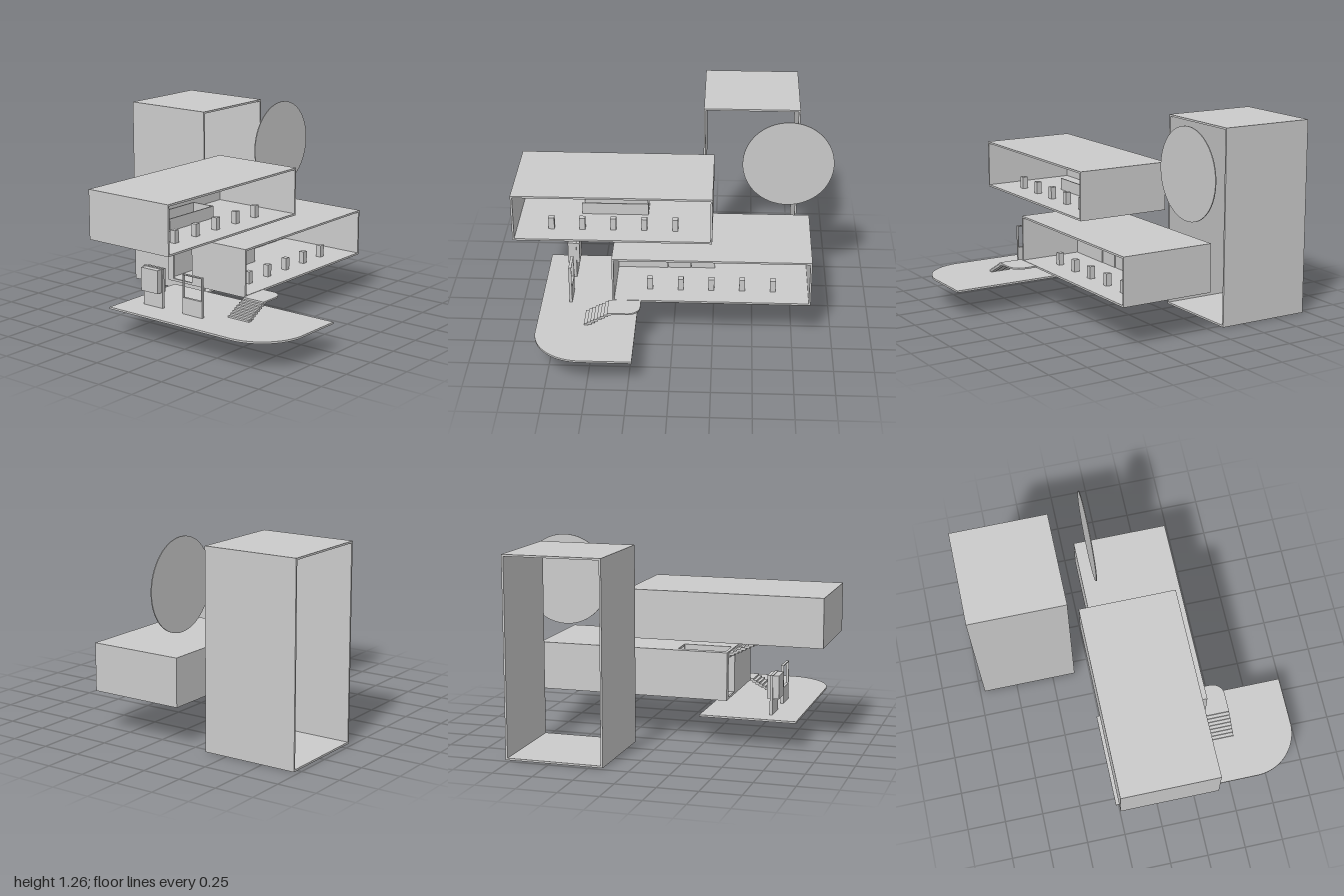
import * as THREE from 'three';

const material = new THREE.MeshStandardMaterial({ color: 0xcccccc });
const T = 0.012; // wall thickness

function add(parent, name, geometry) {
  const mesh = new THREE.Mesh(geometry, material);
  mesh.name = name;
  parent.add(mesh);
  return mesh;
}

function group(parent, name) {
  const g = new THREE.Group();
  g.name = name;
  parent.add(g);
  return g;
}

// Box given by its limits on each axis
function box(parent, name, [x0, x1], [y0, y1], [z0, z1]) {
  const mesh = add(parent, name, new THREE.BoxGeometry(x1 - x0, y1 - y0, z1 - z0));
  mesh.position.set((x0 + x1) / 2, (y0 + y1) / 2, (z0 + z1) / 2);
  return mesh;
}

function rect([a0, a1], [b0, b1], Type = THREE.Shape) {
  const s = new Type();
  s.moveTo(a0, b0).lineTo(a1, b0).lineTo(a1, b1).lineTo(a0, b1).closePath();
  return s;
}

function extrude(shape, depth) {
  return new THREE.ExtrudeGeometry(shape, { depth, bevelEnabled: false, curveSegments: 24 });
}

// Horizontal plate from an outline in x and z, hanging down from its top
function plate(parent, name, shape, top, thickness) {
  add(parent, name, extrude(shape, thickness).rotateX(Math.PI / 2)).position.y = top;
}

// Upright plate from an outline in x and y, from z0 forwards
function panel(parent, name, shape, z0, thickness) {
  add(parent, name, extrude(shape, thickness)).position.z = z0;
}

// Straight flight of overlapping steps descending from zTop to zEnd
function stairs(parent, name, xs, top, bottom, zTop, zEnd, count) {
  const g = group(parent, name);
  const rise = (top - bottom) / count, run = (zEnd - zTop) / count;
  for (let i = 0; i < count; i++) {
    const y = top - i * rise, a = zTop + i * run, b = a + run * 1.3;
    box(g, 'step', xs, [y - rise * 1.4, y], [Math.min(a, b), Math.max(a, b)]);
  }
}

// Long room open on its left side, with optional stair openings
function room(parent, name, xs, ys, zs, holes) {
  const g = group(parent, name);
  const [x0, x1] = xs, [y0, y1] = ys, [z0, z1] = zs;
  const floor = rect(xs, zs), roof = rect(xs, zs);
  const inner = [y0 + T, y1 - T];
  let front = rect([x0, x1], inner);
  if (holes.floor) floor.holes.push(rect(...holes.floor, THREE.Path));
  if (holes.roof) roof.holes.push(rect(...holes.roof, THREE.Path));
  if (holes.front) front.holes.push(rect(...holes.front, THREE.Path));
  plate(g, 'floor', floor, y0 + T, T);
  plate(g, 'roof', roof, y1, T);
  panel(g, 'frontWall', front, z1 - T, T);
  box(g, 'backWall', xs, inner, [z0, z0 + T]);
  box(g, 'sideWall', [x0, x0 + T], inner, [z0 + T, z1 - T]);
  return g;
}

// Row of five small stands near the open side
function stands(parent, x, floorY, zFirst) {
  for (let i = 0; i < 5; i++) {
    const z = zFirst - i * 0.194;
    box(parent, 'displayStand', [x - 0.018, x + 0.018], [floorY, floorY + 0.078], [z - 0.018, z + 0.018]);
  }
}

export function createModel() {
  const model = new THREE.Group();
  model.name = 'pavilion';
  const stairX = [-0.15, 0];

  // Tower: a tall tube open on both sides
  const tower = group(model, 'tower');
  const tx = [-0.97, -0.35], tz = [-0.785, -0.168];
  box(tower, 'towerFloor', tx, [0, T], tz);
  box(tower, 'towerRoof', tx, [1.245 - T, 1.245], tz);
  box(tower, 'towerFrontWall', tx, [T, 1.245 - T], [tz[1] - T, tz[1]]);
  box(tower, 'towerBackWall', tx, [T, 1.245 - T], [tz[0], tz[0] + T]);

  // Thin upright disc
  const disc = add(model, 'disc', new THREE.CylinderGeometry(0.29, 0.29, 0.006, 64).rotateZ(Math.PI / 2));
  disc.position.set(-0.123, 0.975, -0.71);

  // Upper room with a railed stairwell
  const upper = room(model, 'upperRoom', [-0.275, 0.345], [0.648, 0.957], [-0.24, 1],
    { floor: [stairX, [0.18, 0.59]] });
  stands(upper, 0.195, 0.66, 0.77);
  const rail = [0.66, 0.737];
  box(upper, 'stairwellRail', [0, 0.008], rail, [0.172, 0.595]);
  box(upper, 'stairwellRail', [-0.158, -0.15], rail, [0.172, 0.595]);
  box(upper, 'stairwellRail', stairX, rail, [0.172, 0.18]);

  // Lower room, the stair passing through its front wall and roof
  const lower = room(model, 'lowerRoom', [-0.195, 0.422], [0.265, 0.57], [-0.86, 0.38],
    { front: [stairX, [0.28, 0.552]], roof: [stairX, [0.05, 0.36]] });
  stands(lower, 0.27, 0.277, 0.15);
  // Stair screen in three lengths
  [[0.05, 0.368], [-0.1, 0.046], [-0.255, -0.104]].forEach((zs, i) =>
    box(lower, 'stairScreen', [0.004, 0.016 - i * 0.003], [0.277, 0.558], zs));

  // Stair between the two rooms
  stairs(model, 'upperStair', stairX, 0.65, 0.277, 0.585, -0.15, 30);

  // Base platform with one rounded corner
  const base = new THREE.Shape();
  base.moveTo(-0.275, 0.225).lineTo(0.967, 0.225).lineTo(0.967, 0.54);
  base.absarc(0.667, 0.54, 0.3, 0, Math.PI / 2, false);
  base.lineTo(-0.275, 0.84).closePath();
  plate(model, 'platform', base, 0.184, T);

  // Entry stair and its rounded landing
  stairs(model, 'entryStair', [0.422, 0.578], 0.275, 0.184, 0.375, 0.54, 8);
  const landing = new THREE.Shape();
  landing.moveTo(0.422, 0.375).lineTo(0.422, 0.2).lineTo(0.498, 0.2);
  landing.absarc(0.498, 0.28, 0.08, -Math.PI / 2, 0, false);
  landing.lineTo(0.578, 0.375).closePath();
  plate(model, 'landing', landing, 0.275, 0.01);

  // Two upright booths with a window each
  for (const x of [-0.15, 0.162]) {
    const wall = rect([x, x + 0.152], [0.184, 0.435]);
    wall.holes.push(rect([x + 0.006, x + 0.146], [0.288, 0.429], THREE.Path));
    panel(model, 'windowBoard', wall, 0.645, 0.018);
  }
  // Block set in the right window
  box(model, 'windowBlock', [-0.138, -0.005], [0.284, 0.432], [0.625, 0.7]);

  return model;
}
